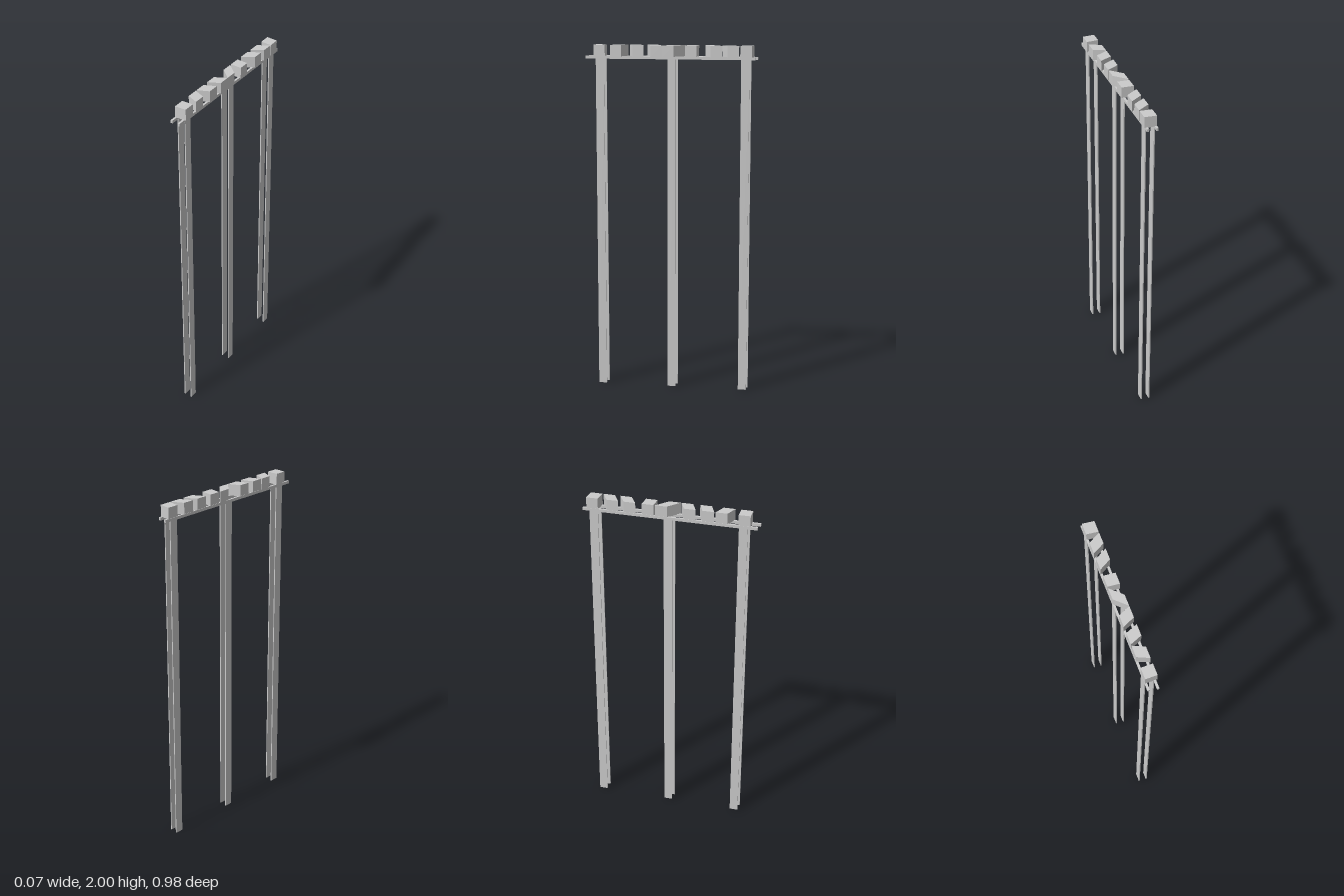
import * as THREE from 'three';

export function createModel() {
  const group = new THREE.Group();
  const material = new THREE.MeshStandardMaterial({ color: 0xcccccc, flatShading: true });

  function add(name, geometry) {
    const mesh = new THREE.Mesh(geometry, material);
    mesh.name = name;
    group.add(mesh);
    return mesh;
  }

  // Box given by its extents
  function box(name, x0, x1, y0, y1, z0, z1) {
    add(name, new THREE.BoxGeometry(x1 - x0, y1 - y0, z1 - z0))
      .position.set((x0 + x1) / 2, (y0 + y1) / 2, (z0 + z1) / 2);
  }

  // Two long rails, slightly staggered
  box('rightRail', -0.034, -0.022, 1.922, 1.938, -0.49, 0.48);
  box('leftRail', 0.014, 0.026, 1.922, 1.938, -0.481, 0.488);

  // Three pairs of tall flat posts
  for (const z of [0.405, -0.009, -0.426]) {
    box('rightPost', -0.03, -0.024, 0, 1.93, z - 0.027, z + 0.021);
    box('leftPost', 0.016, 0.022, 0, 1.93, z - 0.021, z + 0.026);
  }

  // Skewed cross blocks: z of the middle of the right and left ends
  const blocks = [
    [-0.436, -0.428], [-0.321, -0.357], [-0.224, -0.262],
    [-0.123, -0.117], [-0.049, 0.013], [0.110, 0.080],
    [0.211, 0.184], [0.283, 0.313], [0.408, 0.408],
  ];
  const halfWidth = 0.033;
  for (const [zRight, zLeft] of blocks) {
    const geometry = new THREE.BoxGeometry(2 * halfWidth, 0.064, 0.065);
    const p = geometry.attributes.position;
    const slope = (zLeft - zRight) / (2 * halfWidth);
    for (let i = 0; i < p.count; i++) p.setZ(i, p.getZ(i) + slope * p.getX(i));
    geometry.computeVertexNormals();
    add('crossBlock', geometry).position.set(0, 1.968, (zRight + zLeft) / 2);
  }

  return group;
}
